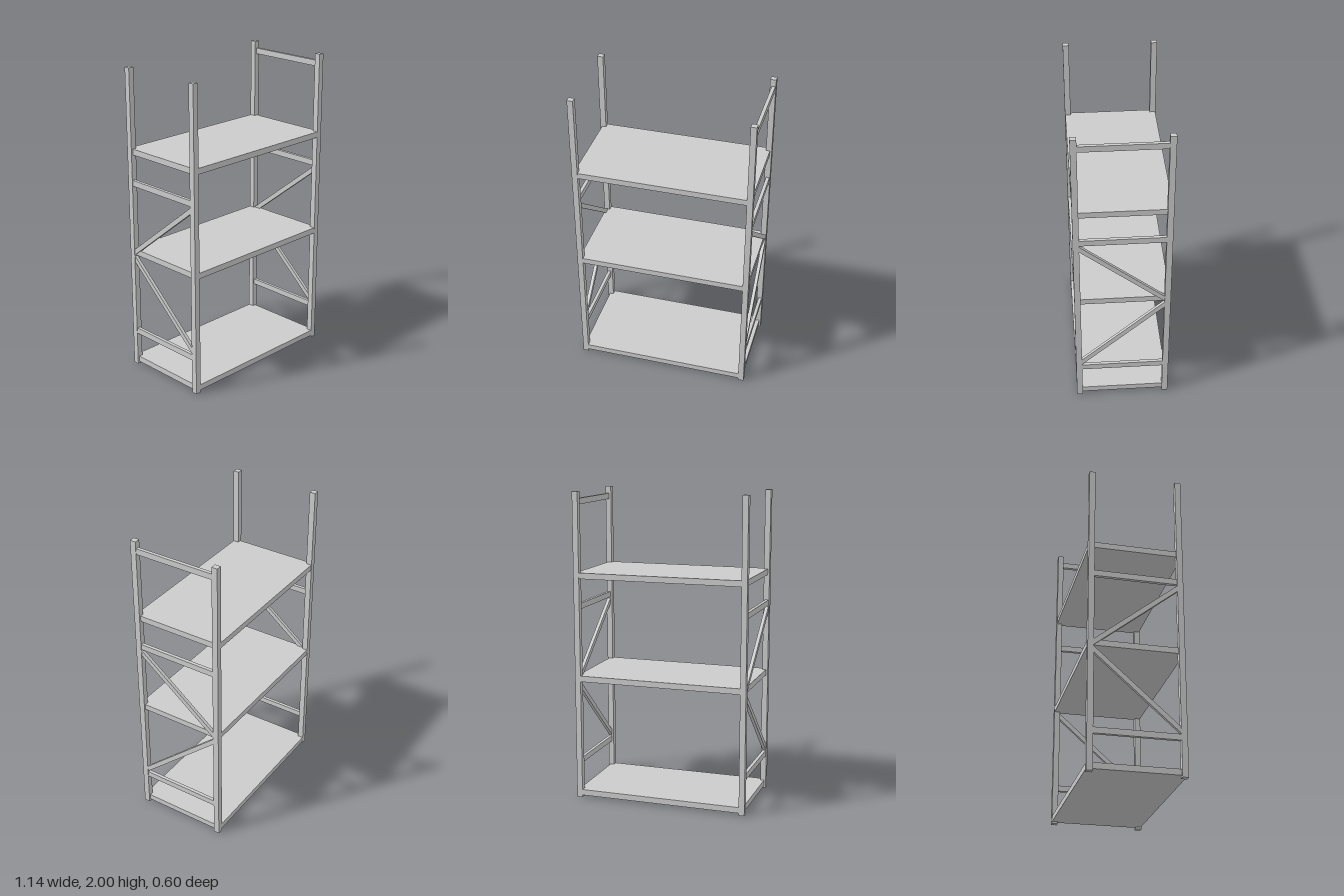
import * as THREE from 'three';

const material = new THREE.MeshStandardMaterial({ color: 0xcccccc, flatShading: true });

export function createModel() {
  const model = new THREE.Group();
  model.name = 'shelvingRack';

  function box(name, w, h, d, x, y, z) {
    const mesh = new THREE.Mesh(new THREE.BoxGeometry(w, h, d), material);
    mesh.name = name;
    mesh.position.set(x, y, z);
    model.add(mesh);
    return mesh;
  }

  const railX = 0.554, postX = 0.55, postZ = 0.281;

  // Sloping bar between two (z, y) points in an end frame
  function diagonal(name, side, z0, y0, z1, y1) {
    const length = Math.hypot(z1 - z0, y1 - y0);
    const bar = box(name, 0.022, 0.03, length, side * railX, (y0 + y1) / 2, (z0 + z1) / 2);
    bar.rotation.x = -Math.atan2(y1 - y0, z1 - z0);
  }

  for (const side of [-1, 1]) {
    const label = side > 0 ? 'left' : 'right';

    // Corner posts
    for (const end of [-1, 1]) {
      box(label + (end > 0 ? 'Front' : 'Back') + 'Post', 0.037, 2, 0.038, side * postX, 1, end * postZ);
    }

    // Horizontal end rails; the top rail is on one end only
    const railHeights = side > 0 ? [0.244, 1.268, 1.935] : [0.244, 1.268];
    for (const y of railHeights) {
      box(label + 'Rail', 0.022, 0.038, 0.54, side * railX, y, 0);
    }

    // Diagonal braces meeting at the back post
    diagonal(label + 'LowerBrace', side, -0.272, 0.763, 0.272, 0.28);
    diagonal(label + 'UpperBrace', side, -0.272, 0.795, 0.272, 1.23);
  }

  // Shelves
  for (const y of [0.033, 0.801, 1.47]) {
    box('shelf', 1.114, 0.038, 0.596, 0, y, 0);
  }

  return model;
}
